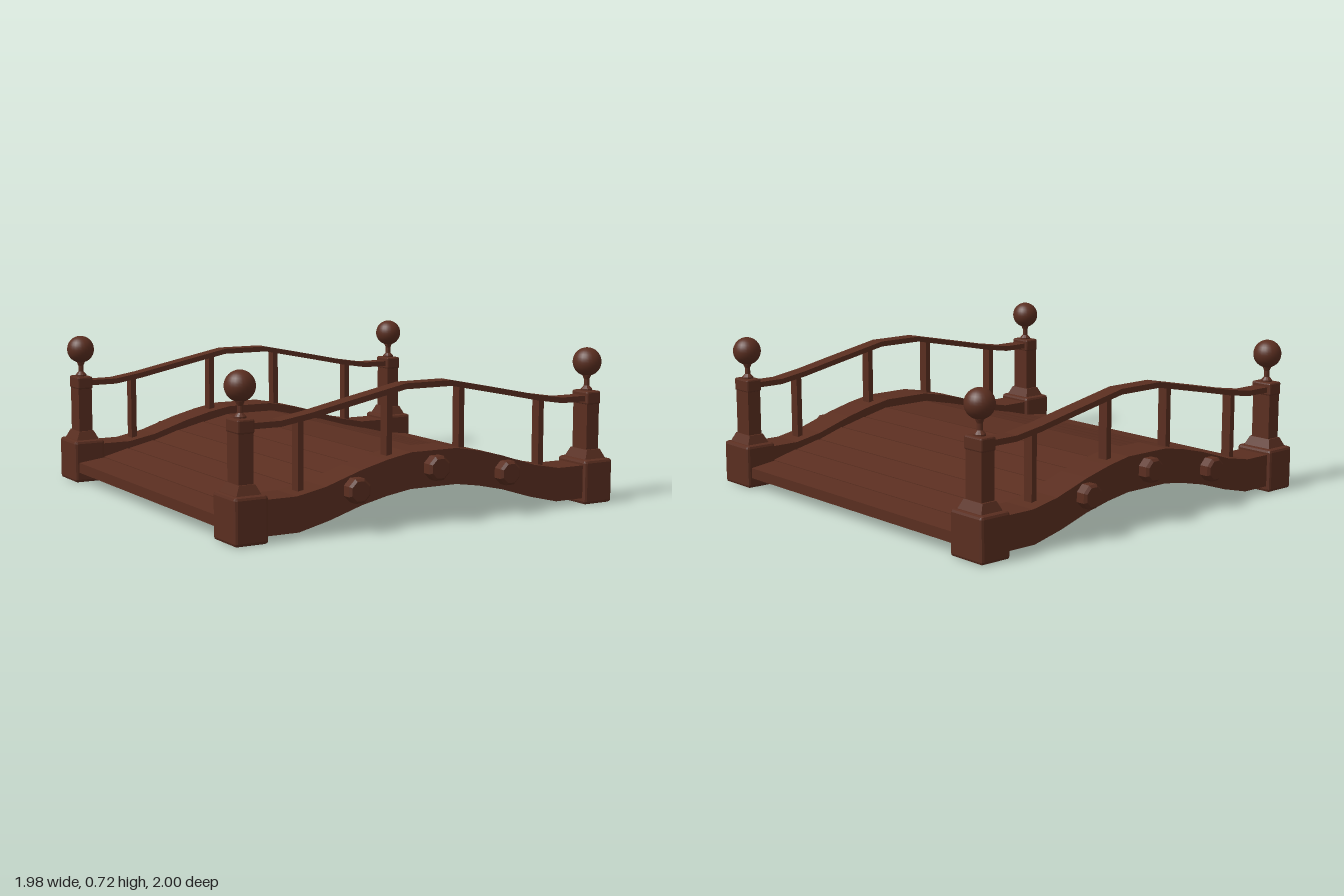
import * as THREE from 'three';
import { RoundedBoxGeometry } from 'three/addons/geometries/RoundedBoxGeometry.js';

const wood = new THREE.MeshStandardMaterial({ color: 0x5a2e20, flatShading: true });
const smoothWood = new THREE.MeshStandardMaterial({ color: 0x5a2e20 });

function add(parent, name, geometry, x = 0, y = 0, z = 0, material = wood) {
  const mesh = new THREE.Mesh(geometry, material);
  mesh.name = name;
  mesh.position.set(x, y, z);
  parent.add(mesh);
  return mesh;
}

// Turn the right half of a profile into a full one, left to right
const mirrored = (half) => [...half.map(([x, y]) => [-x, y]).reverse(), ...half];

// Extrude a closed outline along z, centred on z = 0
function slab(points, depth) {
  const shape = new THREE.Shape(points.map(([x, y]) => new THREE.Vector2(x, y)));
  const geometry = new THREE.ExtrudeGeometry(shape, { depth, bevelEnabled: false });
  return geometry.translate(0, 0, -depth / 2);
}

// Strip between a lower and an upper profile
const strip = (lower, upper, depth) => slab([...lower, ...[...upper].reverse()], depth);

// Four-sided tapered block, bottom at y = 0
function taper(w0, d0, w1, d1, h) {
  const geometry = new THREE.BoxGeometry(1, h, 1).translate(0, h / 2, 0);
  const p = geometry.attributes.position;
  for (let i = 0; i < p.count; i++) {
    const top = p.getY(i) > h / 2;
    p.setX(i, p.getX(i) * (top ? w1 : w0));
    p.setZ(i, p.getZ(i) * (top ? d1 : d0));
  }
  geometry.computeVertexNormals();
  return geometry;
}

const beamTop = mirrored([[0.12, 0.325], [0.24, 0.303], [0.37, 0.27], [0.55, 0.212], [0.69, 0.185], [0.95, 0.185]]);
const beamBottom = mirrored([[0.12, 0.163], [0.24, 0.145], [0.37, 0.116], [0.53, 0.066], [0.68, 0.03], [0.95, 0.03]]);
const railTop = mirrored([[0.12, 0.622], [0.29, 0.588], [0.43, 0.56], [0.6, 0.525], [0.74, 0.503], [0.91, 0.503]]);
const railBottom = railTop.map(([x, y]) => [x, y - 0.026]);

// Height of a profile at x
function heightAt(profile, x) {
  const i = Math.max(1, profile.findIndex((p) => p[0] >= x));
  const [x0, y0] = profile[i - 1], [x1, y1] = profile[i];
  return y0 + (y1 - y0) * (x - x0) / (x1 - x0);
}

function createPost() {
  const post = new THREE.Group();
  post.name = 'cornerPost';
  add(post, 'postBase', new RoundedBoxGeometry(0.16, 0.208, 0.205, 1, 0.014), 0, 0.104, 0);
  add(post, 'baseFlare', taper(0.12, 0.155, 0.076, 0.12, 0.045), 0, 0.205, 0);
  add(post, 'postShaft', new THREE.BoxGeometry(0.07, 0.3, 0.102), 0, 0.34, 0);
  add(post, 'postCollar', new RoundedBoxGeometry(0.08, 0.062, 0.114, 1, 0.008), 0, 0.492, 0);
  // Turned neck and ball
  const neck = [[0.027, 0.515], [0.027, 0.53], [0.013, 0.545], [0.013, 0.575], [0.02, 0.592], [0.02, 0.61]];
  add(post, 'finialNeck', new THREE.LatheGeometry(neck.map(([r, y]) => new THREE.Vector2(r, y)), 12));
  add(post, 'finialBall', new THREE.SphereGeometry(0.067, 24, 16), 0, 0.657, 0, smoothWood);
  return post;
}

function createSide(z, outward) {
  const side = new THREE.Group();
  side.name = outward > 0 ? 'frontSide' : 'backSide';
  side.position.z = z;
  add(side, 'archedBeam', strip(beamBottom, beamTop, 0.168));
  add(side, 'handrail', strip(railBottom, railTop, 0.078));

  // Balusters stand on the beam and meet the handrail
  for (const x of [-0.638, -0.195, 0.185, 0.63]) {
    const y0 = heightAt(beamTop, x) - 0.02, y1 = heightAt(railTop, x) - 0.013;
    add(side, 'baluster', new THREE.BoxGeometry(0.028, y1 - y0, 0.05), x, (y0 + y1) / 2, 0);
  }

  // Chamfered eight-sided peg heads on the outer face
  const peg = [[0.058, 0], [0.058, 0.045], [0.046, 0.056], [0, 0.056]];
  for (const [x, y] of [[-0.408, 0.188], [0, 0.25], [0.382, 0.195]]) {
    const geometry = new THREE.LatheGeometry(peg.map(([r, h]) => new THREE.Vector2(r, h)), 8, Math.PI / 8);
    const mesh = add(side, 'pegHead', geometry, x, y, outward * 0.082);
    mesh.rotation.x = outward * Math.PI / 2;
  }

  for (const x of [-0.912, 0.912]) {
    const post = createPost();
    post.position.x = x;
    side.add(post);
  }
  return side;
}

export function createModel() {
  const bridge = new THREE.Group();
  bridge.name = 'footbridge';
  bridge.add(createSide(0.858, 1), createSide(-0.87, -1));

  // Deck planks follow the arch with narrow gaps
  const deck = new THREE.Group();
  deck.name = 'deck';
  const seams = mirrored([[0.13, 0.285], [0.272, 0.255], [0.415, 0.222], [0.557, 0.18], [0.697, 0.15], [0.835, 0.117], [0.975, 0.1]]);
  for (let i = 0; i < seams.length - 1; i++) {
    const [x0, y0] = seams[i], [x1, y1] = seams[i + 1];
    const a = x0 + 0.004, b = x1 - 0.004, t = 0.05;
    add(deck, 'plank', slab([[a, y0 - t], [b, y1 - t], [b, y1], [a, y0]], 1.6), 0, 0, -0.006);
  }
  bridge.add(deck);
  return bridge;
}
